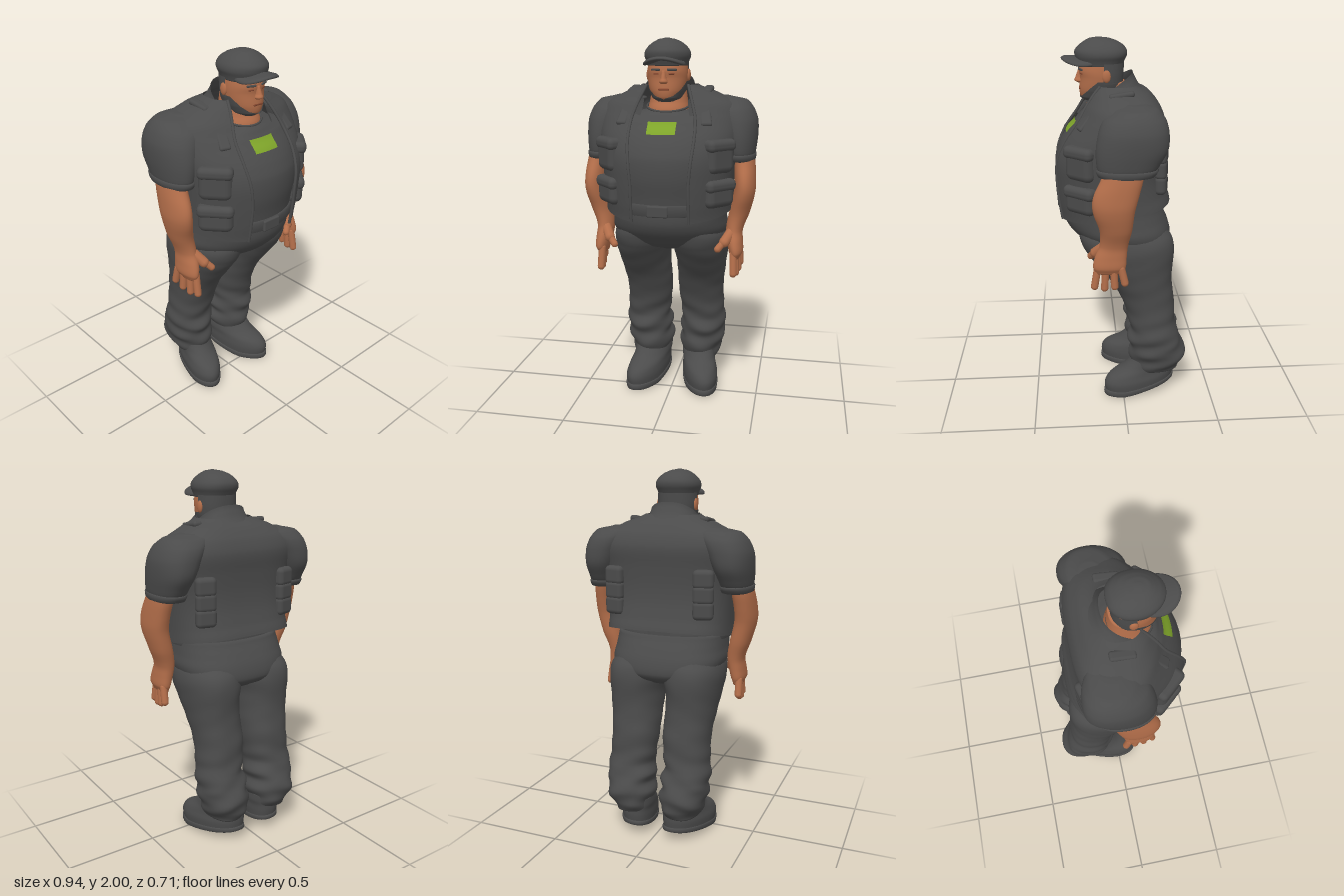
import * as THREE from 'three';
import { RoundedBoxGeometry } from 'three/addons/geometries/RoundedBoxGeometry.js';

const mat = (name, color, side = THREE.FrontSide) => {
  const m = new THREE.MeshStandardMaterial({ color, side });
  m.name = name;
  return m;
};

// Point on a cross-section row [y, centreX, halfWidth, zFront, zBack, openingHalfWidth]
function ringPoint([y, cx, rx, zf, zb], t, p) {
  const s = Math.sin(t), c = Math.cos(t), e = c < 0 ? p : 1;
  return new THREE.Vector3(
    cx + rx * Math.sign(s) * Math.abs(s) ** e, y,
    (zf + zb) / 2 + (zf - zb) / 2 * Math.sign(c) * Math.abs(c) ** e);
}

// Smooth in-between rows
function resample(rows, k) {
  const out = [], at = i => rows[Math.min(rows.length - 1, Math.max(0, i))];
  for (let i = 0; i < rows.length - 1; i++) {
    for (let j = 0; j < k; j++) {
      const u = j / k, [a, b, c, d] = [at(i - 1), at(i), at(i + 1), at(i + 2)];
      out.push(b.map((v, n) => n === 0 ? v + (c[0] - v) * u
        : v + 0.5 * u * (c[n] - a[n] + u * (2 * a[n] - 5 * v + 4 * c[n] - d[n] + u * (3 * (v - c[n]) + d[n] - a[n])))));
    }
  }
  out.push(rows[rows.length - 1]);
  return out;
}

// Skin over rising rows; arc gives the angle range of an open shell
function loft(rows, { n = 40, k = 5, p = 0.85, arc = null, warp = null } = {}) {
  const rs = resample(rows, k), pos = [], idx = [], cols = arc ? n + 1 : n;
  const put = v => { if (warp) warp(v); pos.push(v.x, v.y, v.z); };
  rs.forEach(r => {
    const [t0, t1] = arc ? arc(r) : [0, Math.PI * 2];
    for (let j = 0; j < cols; j++) put(ringPoint(r, t0 + (t1 - t0) * j / n, p));
  });
  for (let i = 0; i < rs.length - 1; i++) {
    for (let j = 0; j < n; j++) {
      const a = i * cols + j, b = i * cols + (j + 1) % cols, c = a + cols, d = b + cols;
      idx.push(a, b, c, b, d, c);
    }
  }
  if (!arc) {
    const last = (rs.length - 1) * cols, base = rs.length * cols;
    [rs[0], rs[rs.length - 1]].forEach(r => put(new THREE.Vector3(r[1], r[0], (r[3] + r[4]) / 2)));
    for (let j = 0; j < n; j++) {
      const q = (j + 1) % n;
      idx.push(base, q, j, base + 1, last + j, last + q);
    }
  }
  const g = new THREE.BufferGeometry();
  g.setAttribute('position', new THREE.Float32BufferAttribute(pos, 3));
  g.setIndex(idx);
  g.computeVertexNormals();
  return g;
}

const openAngle = r => Math.asin(Math.min(1, Math.max(0, r[5] / r[2])));
const frontOpen = r => [openAngle(r), Math.PI * 2 - openAngle(r)];

function mirrored(geo) {
  const g = (geo.index ? geo.toNonIndexed() : geo.clone()).scale(-1, 1, 1);
  const ix = [];
  for (let i = 0; i < g.attributes.position.count; i += 3) ix.push(i, i + 2, i + 1);
  g.setIndex(ix);
  return g;
}

function box(w, h, d, x, y, z, ry = 0, rx = 0, r = 0.015) {
  return new RoundedBoxGeometry(w, h, d, 3, Math.min(r, w / 2.1, h / 2.1, d / 2.1)).rotateX(rx).rotateY(ry).translate(x, y, z);
}

function finger(a, b, r) {
  const A = new THREE.Vector3(...a), B = new THREE.Vector3(...b), d = B.clone().sub(A);
  const q = new THREE.Quaternion().setFromUnitVectors(new THREE.Vector3(0, 1, 0), d.clone().normalize());
  return new THREE.CapsuleGeometry(r, d.length(), 5, 10).applyQuaternion(q).translate(...A.add(B).multiplyScalar(0.5).toArray());
}

export function createModel() {
  const grey = mat('charcoal cloth', 0x4b4b4b, THREE.DoubleSide);
  const skin = mat('tan skin', 0xb36e4a);
  const lip = mat('dark skin', 0x83462f);
  const green = mat('green patch', 0x7fa52a, THREE.DoubleSide);
  const group = new THREE.Group();
  const add = (name, geo, m) => {
    const mesh = new THREE.Mesh(geo, m);
    mesh.name = name;
    group.add(mesh);
  };
  const pair = (name, geo, m) => { add(name + 'Left', geo, m); add(name + 'Right', mirrored(geo), m); };

  // Trousers and legs, with folds gathering towards the ankles
  add('trouserSeat', loft([[0.875, 0, 0.08, 0.09, -0.19], [0.905, 0, 0.2, 0.175, -0.245], [0.94, 0, 0.285, 0.232, -0.268],
    [1.0, 0, 0.315, 0.29, -0.262], [1.06, 0, 0.31, 0.32, -0.238], [1.14, 0, 0.305, 0.325, -0.2]], { p: 0.75 }), grey);
  const folds = v => {
    const f = 0.001 + 0.006 * Math.min(1, Math.max(0, (0.55 - v.y) / 0.2));
    v.x += f * Math.sin(v.y * 58 + v.z * 16);
    v.z += f * Math.sin(v.y * 47 + v.x * 22);
  };
  pair('trouserLeg', loft([[0.15, 0.145, 0.1, -0.06, -0.31], [0.2, 0.15, 0.113, -0.05, -0.34], [0.26, 0.155, 0.13, -0.035, -0.355],
    [0.31, 0.16, 0.124, -0.04, -0.34], [0.36, 0.162, 0.132, -0.03, -0.325], [0.42, 0.165, 0.125, -0.04, -0.3],
    [0.5, 0.157, 0.127, -0.025, -0.29], [0.6, 0.152, 0.13, 0.008, -0.285], [0.7, 0.158, 0.135, 0.06, -0.27],
    [0.8, 0.164, 0.142, 0.135, -0.27], [0.9, 0.162, 0.156, 0.205, -0.278], [0.97, 0.157, 0.154, 0.235, -0.262],
    [1.04, 0.145, 0.13, 0.235, -0.215]], { k: 7, warp: folds }), grey);

  // Boots with a raised heel and toes turned out
  const bootWarp = v => {
    v.y += Math.max(0, -v.z) * 0.2 * Math.max(0, 1 - v.y / 0.22);
    v.x += 0.22 * (v.z + 0.1);
  };
  pair('boot', loft([[0.02, 0.155, 0.098, 0.1, -0.29], [0.08, 0.155, 0.102, 0.108, -0.295], [0.125, 0.152, 0.097, 0.08, -0.295],
    [0.165, 0.15, 0.096, 0.0, -0.295], [0.22, 0.155, 0.095, -0.05, -0.3]], { warp: bootWarp }), grey);
  pair('bootSole', loft([[0, 0.155, 0.092, 0.095, -0.285], [0.008, 0.155, 0.102, 0.11, -0.298], [0.035, 0.155, 0.104, 0.111, -0.298],
    [0.042, 0.155, 0.097, 0.1, -0.29]], { k: 2, warp: bootWarp }), grey);

  // Shirt, patch and belt
  const patchRows = [[1.525, 0, 0.33, 0.287, -0.19], [1.585, 0, 0.31, 0.238, -0.18]];
  add('shirt', loft([[1.08, 0, 0.3, 0.32, -0.19], [1.2, 0, 0.31, 0.335, -0.19], [1.3, 0, 0.32, 0.352, -0.185],
    [1.4, 0, 0.33, 0.35, -0.185], [1.47, 0, 0.33, 0.323, -0.19], ...patchRows,
    [1.615, 0, 0.22, 0.212, -0.15], [1.64, 0, 0.115, 0.185, -0.06]]), grey);
  add('chestPatch', loft(patchRows.map(([y, x, rx, f, b]) => [y, x, rx, f + 0.007, b]),
    { n: 10, arc: r => [-0.078 / r[2], 0.072 / r[2]] }), green);
  add('belt', loft([[1.105, 0, 0.3, 0.322, -0.18], [1.11, 0, 0.315, 0.337, -0.19], [1.165, 0, 0.32, 0.345, -0.19],
    [1.17, 0, 0.3, 0.33, -0.18]], { k: 1 }), grey);
  add('beltBuckle', box(0.11, 0.06, 0.02, -0.01, 1.138, 0.338, 0, 0, 0.008), grey);

  // Open vest with a hem that rises towards the back
  const hem = v => { v.y -= v.z * 0.17 * Math.max(0, 1 - (v.y - 1.13) / 0.3); };
  const vestRows = [[1.13, 0, 0.345, 0.35, -0.255, 0.15], [1.2, 0, 0.345, 0.362, -0.235, 0.15], [1.3, 0, 0.35, 0.372, -0.215, 0.15],
    [1.4, 0, 0.36, 0.37, -0.208, 0.16], [1.5, 0, 0.375, 0.326, -0.212, 0.17], [1.6, 0, 0.38, 0.252, -0.22, 0.165],
    [1.67, 0, 0.35, 0.205, -0.195, 0.145], [1.725, 0, 0.245, 0.17, -0.145, 0.125], [1.765, 0, 0.15, 0.15, -0.08, 0.11]];
  add('vest', loft(vestRows, { n: 60, p: 0.62, arc: frontOpen, warp: hem }), grey);
  const edge = vestRows.map(r => { const v = ringPoint(r, openAngle(r), 0.62); hem(v); return v; });
  pair('vestEdge', new THREE.TubeGeometry(new THREE.CatmullRomCurve3(edge), 40, 0.008, 8), grey);

  // Stand-up collar, high at the nape and falling into lapels
  add('vestCollar', loft([[1.62, 0, 0.22, 0.29, -0.14, 0.155], [1.69, 0, 0.19, 0.275, -0.1, 0.145], [1.745, 0, 0.155, 0.245, -0.075, 0.125],
    [1.79, 0, 0.136, 0.22, -0.06, 0.115]], { arc: frontOpen, warp: v => { v.y -= v.z * 0.66; } }), grey);

  // Pouches, each with a flap, and shoulder straps
  for (const [name, y, h, w] of [['chestPouch', 1.41, 0.17, 0.17], ['waistPouch', 1.22, 0.14, 0.18]]) {
    pair(name, box(w, h, 0.095, 0.28, y, 0.215, 0.85, 0, 0.038), grey);
    pair(name + 'Flap', box(w + 0.01, 0.065, 0.105, 0.282, y + h / 2 - 0.025, 0.217, 0.85, 0, 0.028), grey);
  }
  for (let i = 0; i < 3; i++) pair('backPouch' + (i + 1), box(0.11, 0.1, 0.06, 0.25, 1.29 + i * 0.08, -0.19, -0.25, 0, 0.025), grey);
  pair('shoulderStrap', box(0.05, 0.03, 0.13, 0.2, 1.735, 0.01, 0, 0.15), grey);
  pair('chestStrap', box(0.06, 0.13, 0.03, 0.21, 1.615, 0.185, 0.3, -0.7, 0.012), grey);

  // Short sleeves and cuffs
  pair('sleeve', loft([[1.375, 0.378, 0.07, 0.13, -0.13], [1.42, 0.375, 0.083, 0.145, -0.16], [1.5, 0.365, 0.101, 0.148, -0.205],
    [1.58, 0.345, 0.118, 0.135, -0.212], [1.64, 0.315, 0.125, 0.11, -0.2], [1.685, 0.275, 0.125, 0.055, -0.165], [1.705, 0.24, 0.07, 0.0, -0.11]]), grey);
  pair('sleeveCuff', loft([[1.37, 0.378, 0.068, 0.125, -0.12], [1.375, 0.378, 0.08, 0.14, -0.14], [1.405, 0.377, 0.084, 0.15, -0.16],
    [1.412, 0.377, 0.07, 0.13, -0.14]], { k: 2 }), grey);

  // Bare forearms and hands
  pair('forearm', loft([[0.85, 0.37, 0.024, 0.155, 0.015], [0.885, 0.372, 0.038, 0.17, 0.0], [0.94, 0.364, 0.043, 0.16, -0.005],
    [1.0, 0.36, 0.046, 0.135, -0.012], [1.09, 0.383, 0.055, 0.135, -0.03], [1.2, 0.408, 0.057, 0.168, -0.042],
    [1.28, 0.41, 0.056, 0.165, -0.062], [1.38, 0.4, 0.056, 0.12, -0.085], [1.46, 0.385, 0.05, 0.1, -0.08]], { n: 28 }), skin);
  for (let i = 0; i < 4; i++) {
    const z = 0.145 - i * 0.04, x = 0.362 + i * 0.008, tip = [0.775, 0.768, 0.778, 0.8][i];
    pair('finger' + (i + 1), finger([x, 0.88, z], [x + 0.004, tip, z + 0.018 - i * 0.012], 0.02), skin);
  }
  pair('thumbBase', finger([0.345, 0.99, 0.11], [0.315, 0.945, 0.155], 0.028), skin);
  pair('thumb', finger([0.315, 0.95, 0.155], [0.283, 0.912, 0.178], 0.019), skin);

  // Neck, head, jaw beard and hair
  add('neck', loft([[1.58, 0, 0.11, 0.16, -0.04], [1.63, 0, 0.11, 0.19, -0.04], [1.68, 0, 0.1, 0.17, -0.03], [1.78, 0, 0.085, 0.14, -0.02]]), skin);
  add('necklace', new THREE.TorusGeometry(0.112, 0.006, 6, 40).rotateX(Math.PI / 2 + 0.25).translate(0, 1.66, 0.083), grey);
  add('head', loft([[1.685, 0, 0.045, 0.185, 0.06], [1.7, 0, 0.07, 0.21, 0.02], [1.74, 0, 0.092, 0.217, 0.0],
    [1.8, 0, 0.103, 0.213, -0.005], [1.84, 0, 0.104, 0.218, -0.01], [1.9, 0, 0.098, 0.205, -0.01]]), skin);
  add('beard', loft([[1.682, 0, 0.047, 0.189, 0.055, 0], [1.698, 0, 0.074, 0.214, 0.015, 0.005], [1.712, 0, 0.083, 0.218, 0.008, 0.045],
    [1.74, 0, 0.096, 0.221, -0.005, 0.078], [1.785, 0, 0.106, 0.217, -0.01, 0.104]], { arc: frontOpen }), grey);
  add('hair', loft([[1.775, 0, 0.105, 0.218, -0.01], [1.82, 0, 0.108, 0.219, -0.013], [1.875, 0, 0.107, 0.22, -0.015]],
    { arc: () => [1.62, Math.PI * 2 - 1.62] }), grey);

  // Face
  add('nose', loft([[1.772, 0, 0.014, 0.224, 0.19], [1.782, 0, 0.022, 0.242, 0.19], [1.8, 0, 0.015, 0.236, 0.19], [1.84, 0, 0.011, 0.222, 0.19]], { n: 16 }), skin);
  add('mouth', box(0.055, 0.01, 0.009, 0, 1.745, 0.214, 0, 0, 0.004), lip);
  pair('eye', box(0.03, 0.008, 0.008, 0.04, 1.822, 0.206, 0.35, 0, 0.003), lip);
  pair('eyebrow', box(0.05, 0.011, 0.009, 0.042, 1.843, 0.21, 0.35, 0, 0.004), grey);
  pair('ear', new THREE.SphereGeometry(1, 14, 10).scale(0.011, 0.032, 0.022).translate(0.106, 1.815, 0.08), skin);

  // Flat cap and peak
  add('cap', loft([[1.862, 0, 0.104, 0.222, -0.008], [1.885, 0, 0.11, 0.23, -0.018], [1.91, 0, 0.119, 0.238, -0.03],
    [1.935, 0, 0.115, 0.238, -0.03], [1.96, 0, 0.097, 0.218, -0.012], [1.98, 0, 0.072, 0.19, 0.02], [1.994, 0, 0.042, 0.165, 0.06],
    [2.0, 0, 0.012, 0.13, 0.1]]), grey);
  add('capPeak', loft([[1.888, 0, 0.1, 0.298, 0.09], [1.893, 0, 0.106, 0.308, 0.09], [1.902, 0, 0.106, 0.308, 0.09], [1.908, 0, 0.098, 0.295, 0.09]],
    { k: 2, warp: v => { v.y -= v.x * v.x * 2.5; } }), grey);

  return group;
}
